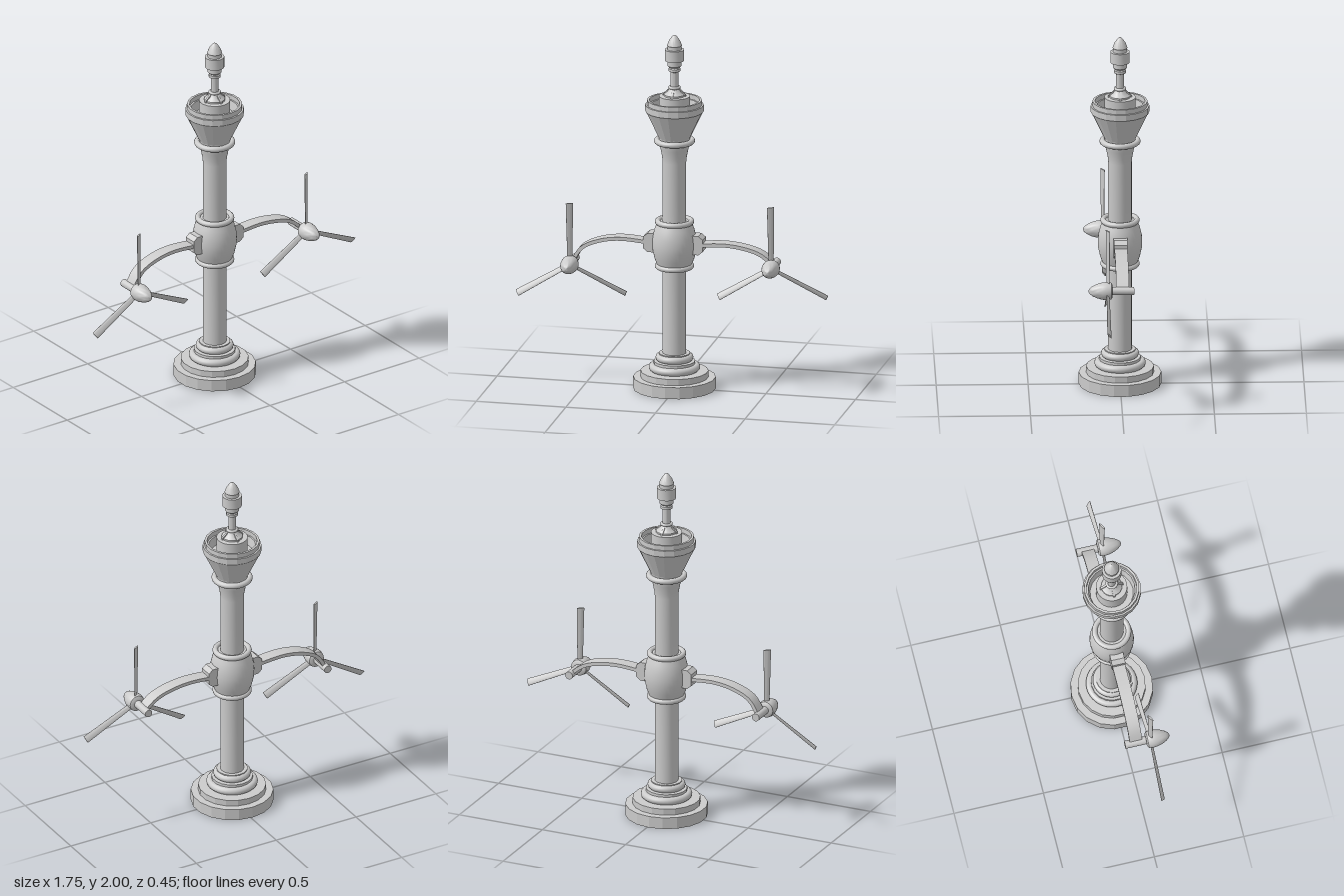
import * as THREE from 'three';
import { toCreasedNormals } from 'three/addons/utils/BufferGeometryUtils.js';

const material = new THREE.MeshStandardMaterial({ color: 0xcccccc, side: THREE.DoubleSide });

function add(parent, name, geometry) {
  const mesh = new THREE.Mesh(geometry, material);
  mesh.name = name;
  parent.add(mesh);
  return mesh;
}

// Turned part from [radius, height] pairs, listed bottom to top on the outside
function turned(points, sides, crease = 0.5) {
  const profile = points.map(([r, y]) => new THREE.Vector2(r, y));
  return toCreasedNormals(new THREE.LatheGeometry(profile, sides), crease);
}

function ring(parent, name, y, outer, tube, stretch = 1) {
  const mesh = add(parent, name, new THREE.TorusGeometry(outer - tube, tube, 12, 40));
  mesh.rotation.x = Math.PI / 2;
  mesh.scale.z = stretch;
  mesh.position.y = y;
}

// Flat strip following a curve in the front plane
function strip(points, thickness, width) {
  const curve = new THREE.SplineCurve(points.map(([x, y]) => new THREE.Vector2(x, y)));
  const upper = [], lower = [];
  for (let i = 0; i <= 20; i++) {
    const p = curve.getPoint(i / 20), t = curve.getTangent(i / 20);
    const n = new THREE.Vector2(-t.y, t.x).multiplyScalar(thickness / 2);
    upper.push(p.clone().add(n));
    lower.unshift(p.clone().sub(n));
  }
  return slab(upper.concat(lower), width);
}

function slab(points, width) {
  const g = new THREE.ExtrudeGeometry(new THREE.Shape(points), { depth: width, bevelEnabled: false });
  g.translate(0, 0, -width / 2);
  return toCreasedNormals(g, 0.5);
}

function buildTower() {
  const tower = new THREE.Group();
  tower.name = 'tower';

  // Hollow stepped foot
  add(tower, 'foot', turned([
    [0.06, 0.13], [0.11, 0.13], [0.11, 0.09], [0.16, 0.09], [0.16, 0.06], [0.2, 0.06], [0.2, 0],
    [0.225, 0], [0.225, 0.065], [0.185, 0.065], [0.185, 0.1], [0.12, 0.1], [0.12, 0.14],
    [0.113, 0.14], [0.113, 0.155], [0.085, 0.155], [0.085, 0.2], [0.06, 0.2],
  ], 18, 0.3));
  ring(tower, 'footRing', 0.12, 0.14, 0.021);
  ring(tower, 'footRing', 0.175, 0.103, 0.02);

  // Shaft flaring towards the capital
  add(tower, 'shaft', turned([
    [0.064, 0.13], [0.064, 1.28], [0.067, 1.31], [0.076, 1.355], [0.085, 1.39], [0.085, 1.42],
  ], 32));
  ring(tower, 'capitalRing', 1.4, 0.112, 0.016);

  // Open cup with a stepped rim
  add(tower, 'capitalCup', turned([
    [0.03, 1.41], [0.082, 1.41], [0.155, 1.565], [0.16, 1.57], [0.16, 1.605], [0.15, 1.605],
    [0.15, 1.632], [0.137, 1.632], [0.137, 1.605], [0.128, 1.605], [0.118, 1.555], [0.03, 1.555],
  ], 18, 0.3));

  // Bulging collar that carries the arms
  add(tower, 'collar', turned([
    [0.06, 0.69], [0.09, 0.69], [0.108, 0.735], [0.119, 0.785], [0.121, 0.82],
    [0.118, 0.86], [0.107, 0.905], [0.09, 0.945], [0.06, 0.945],
  ], 40));
  for (const y of [0.692, 0.943]) ring(tower, 'collarRing', y, 0.107, 0.015);

  // Finial
  add(tower, 'finialBase', turned([
    [0.085, 1.55], [0.085, 1.655], [0.057, 1.655], [0.057, 1.664], [0.037, 1.68], [0.026, 1.7], [0.02, 1.7],
  ], 24));
  for (let i = 0; i < 4; i++) {
    const pivot = new THREE.Group();
    pivot.name = 'finialFin';
    pivot.rotation.y = i * Math.PI / 2;
    add(pivot, 'fin', slab([[0.015, 1.65], [0.066, 1.65], [0.063, 1.665], [0.03, 1.695], [0.015, 1.695]]
      .map(([x, y]) => new THREE.Vector2(x, y)), 0.012));
    tower.add(pivot);
  }
  ring(tower, 'stemRing', 1.703, 0.034, 0.008);
  add(tower, 'finial', turned([
    [0.021, 1.69], [0.021, 1.79], [0.032, 1.795], [0.032, 1.81], [0.027, 1.815], [0.038, 1.825],
    [0.038, 1.855], [0.053, 1.855], [0.053, 1.917], [0.038, 1.917], [0.038, 1.935], [0.041, 1.94],
    [0.03, 1.968], [0.012, 1.993], [0, 2],
  ], 20));
  return tower;
}

function buildPropeller() {
  const propeller = new THREE.Group();
  propeller.name = 'propeller';

  const axle = add(propeller, 'axle', new THREE.CylinderGeometry(0.022, 0.022, 0.125, 20));
  axle.rotation.x = Math.PI / 2;

  // Pointed spinner facing the front
  const spinner = add(propeller, 'spinner', turned([
    [0, 0.055], [0.034, 0.055], [0.045, 0.062], [0.049, 0.085], [0.047, 0.11],
    [0.039, 0.14], [0.027, 0.165], [0.013, 0.182], [0, 0.187],
  ], 24, 0.8));
  spinner.rotation.x = Math.PI / 2;

  // Three twisted blades, slightly wider at the tip
  for (const degrees of [0.5, 121.5, 245]) {
    const g = new THREE.CylinderGeometry(0.021, 0.015, 0.315, 14);
    g.scale(1, 1, 0.24);
    g.translate(0, 0.1875, 0);
    g.rotateY(0.55);
    g.rotateZ(THREE.MathUtils.degToRad(degrees));
    g.translate(0, 0, 0.08);
    add(propeller, 'blade', toCreasedNormals(g, 0.9));
  }
  return propeller;
}

export function createModel() {
  const model = new THREE.Group();
  model.name = 'propellerTower';
  const tower = buildTower();
  tower.position.x = -0.01;
  model.add(tower);

  // Brackets on both sides of the collar
  for (const side of [1, -1]) {
    const outline = [[0.09, 0.77], [0.142, 0.77], [0.166, 0.79], [0.166, 0.856], [0.142, 0.876], [0.09, 0.876]]
      .map(([x, y]) => new THREE.Vector2(side * x, y));
    add(tower, side > 0 ? 'leftBracket' : 'rightBracket', slab(outline, 0.075));
  }

  // Curved arms, the right one drooping lower
  const arms = {
    left: [[0.13, 0.823], [0.27, 0.833], [0.39, 0.82], [0.48, 0.79], [0.548, 0.735]],
    right: [[-0.15, 0.823], [-0.3, 0.833], [-0.42, 0.815], [-0.52, 0.768], [-0.575, 0.685]],
  };
  for (const [side, path] of Object.entries(arms)) {
    add(model, side + 'Arm', strip(path, 0.02, 0.07));
    const propeller = buildPropeller();
    propeller.position.set(...path[path.length - 1], 0);
    model.add(propeller);
  }
  return model;
}
